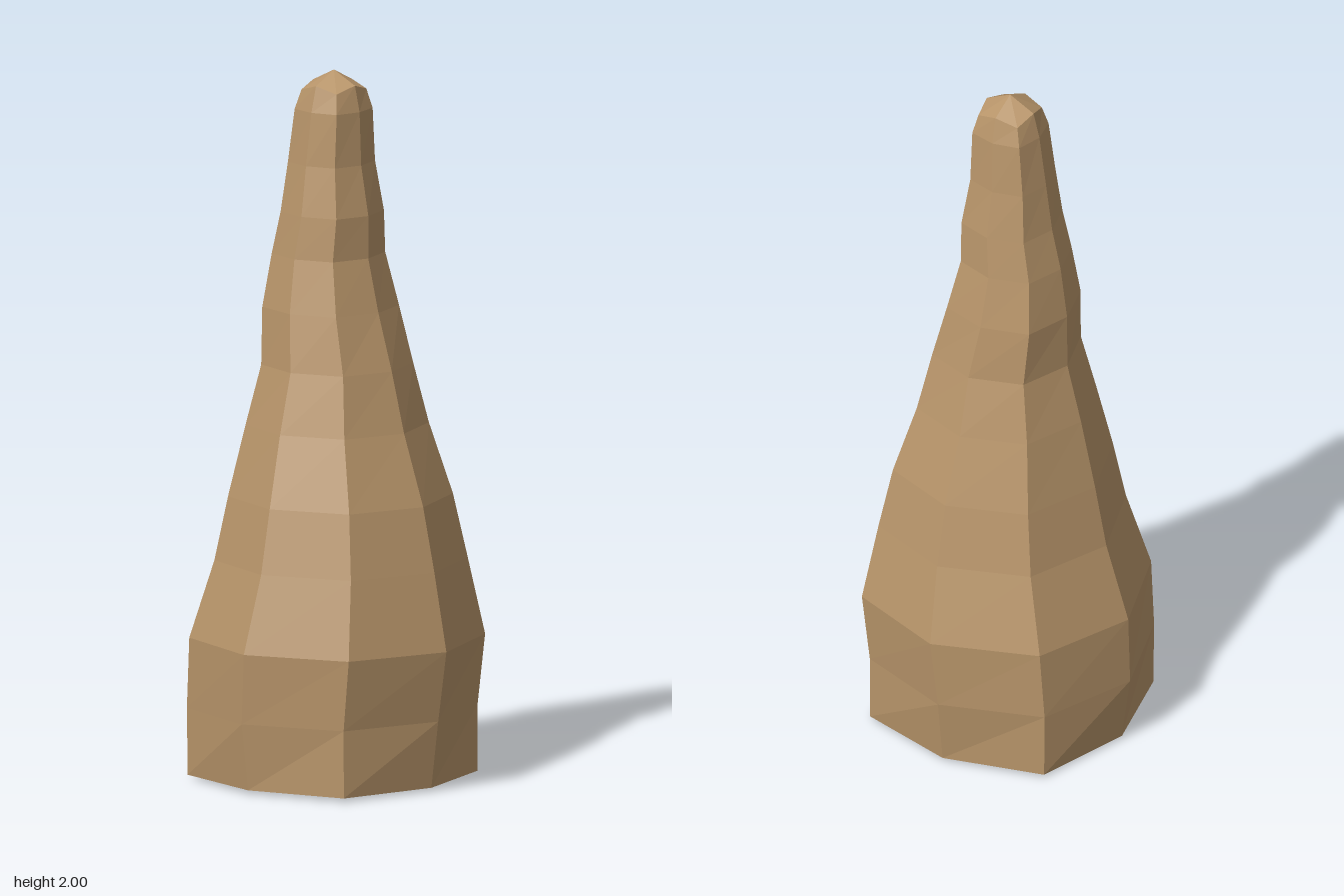
import * as THREE from 'three';

// Each ring: height, x drift of the centre, axial radius, x/z offset of the diagonal corners
const RINGS = [
  [0.01, -0.017, 0.362, 0.286],
  [0.2, -0.018, 0.388, 0.287],
  [0.4, 0, 0.4, 0.292],
  [0.62, 0.014, 0.342, 0.25],
  [0.8, 0.012, 0.303, 0.222],
  [1.0, 0, 0.245, 0.181],
  [1.17, 0, 0.2, 0.15],
  [1.33, -0.024, 0.175, 0.135],
  [1.48, -0.032, 0.146, 0.112],
  [1.6, -0.018, 0.132, 0.102],
  [1.74, -0.021, 0.109, 0.086],
  [1.89, -0.013, 0.095, 0.077],
  [1.963, -0.012, 0.077, 0.064],
];
const SIDES = 8;

function buildSpire() {
  const positions = [];
  const index = [];
  const last = RINGS.length - 1;

  RINGS.forEach(([y, cx, axial, diagonal], r) => {
    for (let i = 0; i < SIDES; i++) {
      const a = (i / SIDES) * Math.PI * 2;
      const isDiagonal = i % 2 === 1;
      const radius = isDiagonal ? diagonal * Math.SQRT2 : axial;
      // corners of the tip sit a little lower, giving a four-faced point
      const drop = isDiagonal && r === last ? 0.018 : 0;
      positions.push(cx + Math.cos(a) * radius, y - drop, Math.sin(a) * radius);
    }
  });
  const bottom = positions.length / 3;
  positions.push(-0.017, 0, 0);
  const apex = bottom + 1;
  positions.push(-0.012, 2, 0);

  for (let i = 0; i < SIDES; i++) {
    const j = (i + 1) % SIDES;
    // side wall
    for (let r = 0; r < last; r++) {
      const a = r * SIDES + i, b = r * SIDES + j;
      index.push(a, a + SIDES, b, b, a + SIDES, b + SIDES);
    }
    // base and tip
    index.push(bottom, i, j);
    index.push(apex, last * SIDES + j, last * SIDES + i);
  }

  const geometry = new THREE.BufferGeometry();
  geometry.setAttribute('position', new THREE.Float32BufferAttribute(positions, 3));
  geometry.setIndex(index);
  const flat = geometry.toNonIndexed();
  flat.computeVertexNormals();
  return flat;
}

export function createModel() {
  const group = new THREE.Group();
  group.name = 'rockSpire';
  const material = new THREE.MeshStandardMaterial({ color: 0xb8956a, flatShading: true });
  const spire = new THREE.Mesh(buildSpire(), material);
  spire.name = 'spire';
  group.add(spire);
  return group;
}
